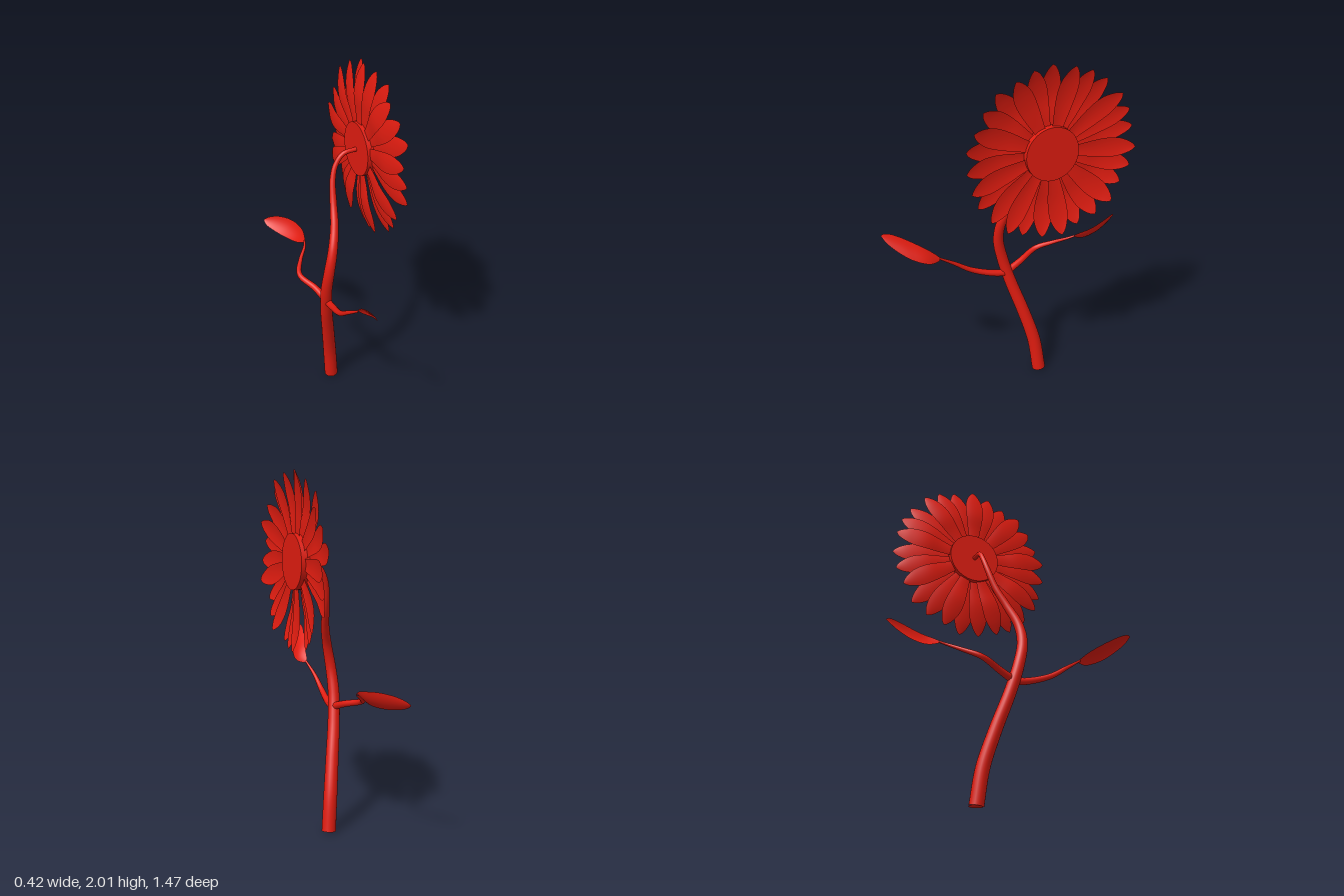
import * as THREE from 'three';

const V = (a) => new THREE.Vector3(...a);
const red = new THREE.MeshStandardMaterial({ color: 0xe01c10 });
const redThin = new THREE.MeshStandardMaterial({ color: 0xe01c10, side: THREE.DoubleSide });

// Linear lookup in a list of evenly spaced values
function sample(list, t) {
  const f = Math.min(t, 0.99999) * (list.length - 1);
  const i = Math.floor(f);
  return THREE.MathUtils.lerp(list[i], list[i + 1], f - i);
}

// Round tube along a spline whose radius follows a list of values
function taperedTube(points, radii, segments, sides) {
  const curve = new THREE.CatmullRomCurve3(points.map(V));
  const geo = new THREE.TubeGeometry(curve, segments, 1, sides);
  const pos = geo.attributes.position;
  const p = new THREE.Vector3();
  for (let i = 0; i <= segments; i++) {
    const c = curve.getPointAt(i / segments);
    const r = sample(radii, i / segments);
    for (let j = 0; j <= sides; j++) {
      const k = i * (sides + 1) + j;
      p.fromBufferAttribute(pos, k).sub(c).multiplyScalar(r).add(c);
      pos.setXYZ(k, p.x, p.y, p.z);
    }
  }
  return geo;
}

// Thin curved blade: centre line, width direction, outline of half widths, cupping
function blade(points, across, halfWidths, cup, rows = 24, cols = 6) {
  const curve = new THREE.CatmullRomCurve3(points.map(V));
  const outline = new THREE.SplineCurve(
    halfWidths.map(([t, w]) => new THREE.Vector2(t, w)));
  const side = V(across).normalize();
  const verts = [], index = [];
  for (let i = 0; i <= rows; i++) {
    const o = outline.getPoint(i / rows);
    const t = THREE.MathUtils.clamp(o.x, 0, 1);
    const w = Math.max(o.y, 0);
    const c = curve.getPointAt(t);
    const normal = curve.getTangentAt(t).cross(side).normalize();
    for (let j = 0; j <= cols; j++) {
      const s = (j / cols) * 2 - 1;
      const p = c.clone().addScaledVector(side, s * w)
        .addScaledVector(normal, cup * s * s * (w / 0.055));
      verts.push(p.x, p.y, p.z);
      if (i < rows && j < cols) {
        const a = i * (cols + 1) + j, b = a + cols + 1;
        index.push(a, b, a + 1, b, b + 1, a + 1);
      }
    }
  }
  const geo = new THREE.BufferGeometry();
  geo.setAttribute('position', new THREE.Float32BufferAttribute(verts, 3));
  geo.setIndex(index);
  geo.computeVertexNormals();
  return geo;
}

export function createModel() {
  const model = new THREE.Group();
  model.name = 'flower';
  const add = (parent, name, geo, mat) => {
    const m = new THREE.Mesh(geo, mat);
    m.name = name;
    parent.add(m);
    return m;
  };

  // Main stem, bending over at the top into the flower head
  add(model, 'stem', taperedTube([
    [-0.015, 0, -0.15], [-0.035, 0.2, -0.125], [-0.068, 0.4, -0.07],
    [-0.105, 0.6, -0.005], [-0.122, 0.76, 0.04], [-0.115, 0.9, 0.068],
    [-0.09, 1.02, 0.058], [-0.055, 1.14, 0.005], [-0.034, 1.25, -0.055],
    [-0.018, 1.37, -0.1], [0.008, 1.45, -0.118], [0.055, 1.508, -0.12],
    [0.14, 1.52, -0.12],
  ], [0.04, 0.039, 0.037, 0.035, 0.033, 0.03, 0.025, 0.02, 0.015, 0.012], 80, 20), red);
  const cap = add(model, 'stemBase', new THREE.CircleGeometry(0.04, 20), red);
  cap.rotation.x = Math.PI / 2;
  cap.position.set(-0.015, 0.001, -0.15);

  // Leaf stalks
  const stalkRadii = [0.022, 0.019, 0.017, 0.014, 0.01, 0.006];
  add(model, 'frontStalk', taperedTube([
    [-0.11, 0.67, 0.01], [-0.112, 0.685, 0.1], [-0.125, 0.73, 0.23],
    [-0.122, 0.8, 0.335], [-0.105, 0.865, 0.43],
  ], stalkRadii, 32, 12), red);
  add(model, 'backStalk', taperedTube([
    [-0.11, 0.675, 0.02], [-0.14, 0.71, -0.08], [-0.188, 0.745, -0.2],
    [-0.145, 0.785, -0.29], [-0.09, 0.825, -0.36], [-0.075, 0.84, -0.4],
  ], stalkRadii, 36, 12), red);

  // Leaves
  const leafOutline = [[0, 0.004], [0.06, 0.02], [0.2, 0.042], [0.4, 0.055],
    [0.6, 0.057], [0.8, 0.045], [0.93, 0.025], [1, 0]];
  add(model, 'frontLeaf', blade([
    [-0.105, 0.86, 0.42], [-0.09, 0.905, 0.5], [-0.11, 0.955, 0.59],
    [-0.14, 1.005, 0.67], [-0.165, 1.045, 0.735],
  ], [-0.65, 0.75, 0], leafOutline, 0.01), redThin);
  add(model, 'backLeaf', blade([
    [-0.075, 0.838, -0.39], [-0.075, 0.83, -0.48], [-0.1, 0.835, -0.57],
    [-0.15, 0.842, -0.66], [-0.21, 0.845, -0.735],
  ], [0.55, 0.83, 0], leafOutline, -0.01), redThin);

  // Flower head facing +x
  const head = new THREE.Group();
  head.name = 'flowerHead';
  head.position.set(0.13, 1.52, -0.12);
  model.add(head);
  const disc = add(head, 'disc', new THREE.CylinderGeometry(0.15, 0.15, 0.06, 48), red);
  disc.rotation.z = -Math.PI / 2;
  disc.position.x = 0.03;

  // Three staggered layers of petals
  const petalOutline = [[0, 0.025], [0.2, 0.036], [0.4, 0.048], [0.6, 0.055],
    [0.75, 0.052], [0.88, 0.036], [0.96, 0.018], [1, 0]];
  const layers = 3, perLayer = 9;
  for (let l = 0; l < layers; l++) {
    const x = l * 0.018;
    const geo = blade([
      [0.015 + x * 0.6, 0.1, 0], [0.012 + x * 0.7, 0.2, 0], [0.005 + x, 0.3, 0],
      [0.02 + x, 0.4, 0], [0.043 + x, 0.48, 0],
    ], [0, 0, 1], petalOutline, 0.005);
    for (let i = 0; i < perLayer; i++) {
      const petal = add(head, 'petal', geo, redThin);
      petal.rotation.x = ((i + l / layers) / perLayer) * Math.PI * 2;
    }
  }
  return model;
}
